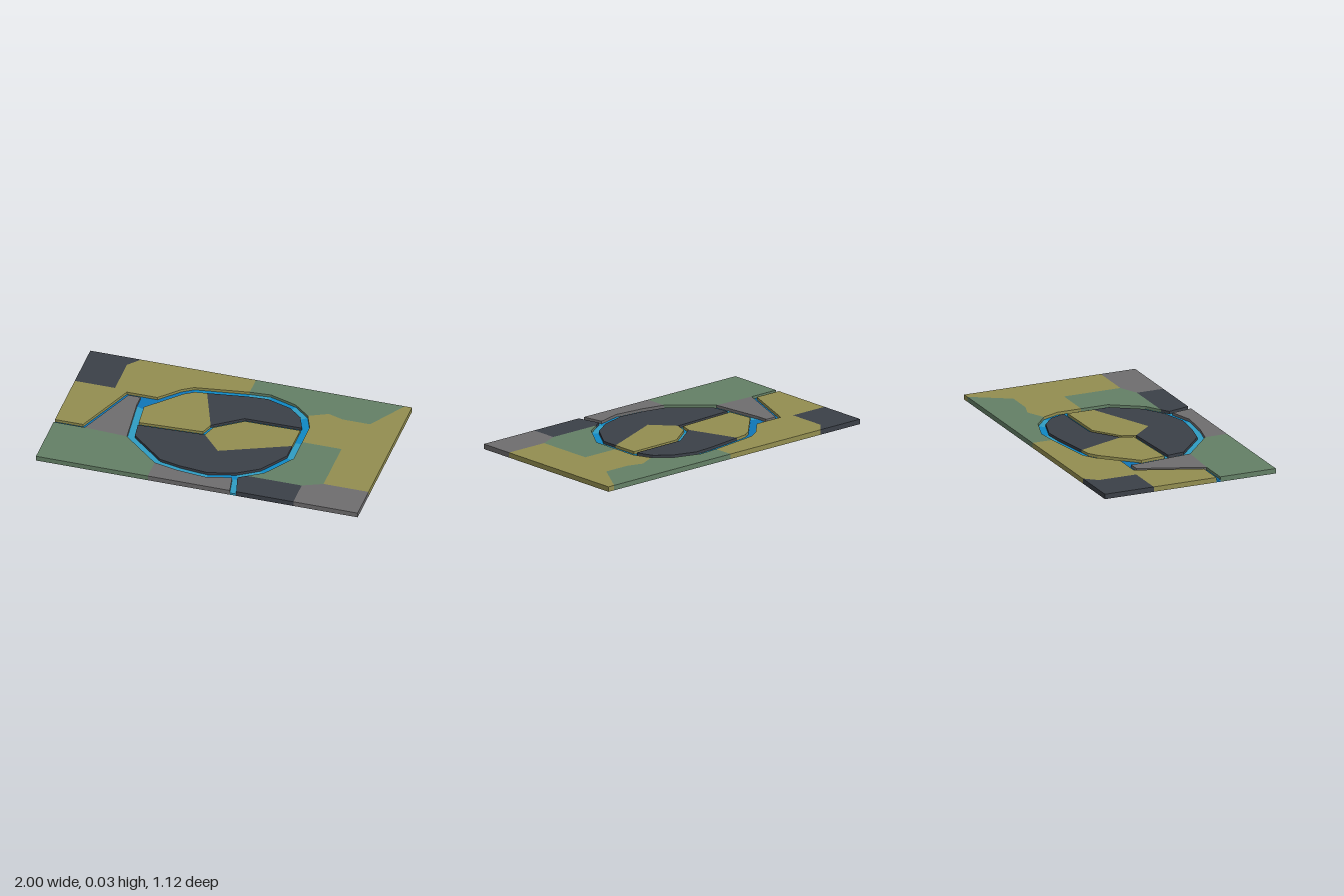
import * as THREE from 'three';

const LAND_TOP = 0.031, WATER_TOP = 0.014;

function mat(name, color) {
  const m = new THREE.MeshStandardMaterial({ color });
  m.name = name;
  return m;
}

// Flat slab standing on y = 0 from a plan outline of [x, z] points
function slab(name, material, height, points) {
  const shape = new THREE.Shape(points.map(([x, z]) => new THREE.Vector2(x, -z)));
  const geo = new THREE.ExtrudeGeometry(shape, { depth: height, bevelEnabled: false });
  geo.rotateX(-Math.PI / 2);
  const mesh = new THREE.Mesh(geo, material);
  mesh.name = name;
  return mesh;
}

// Second bank of a river: the first one shifted sideways by width, with mitred corners
function oppositeBank(bank, width, closed) {
  const n = bank.length;
  const normal = (i) => {
    const [a, b] = [bank[i], bank[(i + 1) % n]];
    const length = Math.hypot(b[0] - a[0], b[1] - a[1]);
    return [(a[1] - b[1]) / length, (b[0] - a[0]) / length];
  };
  return bank.map(([x, z], i) => {
    const before = normal(closed ? (i + n - 1) % n : Math.max(i - 1, 0));
    const after = normal(closed ? i : Math.min(i, n - 2));
    const k = width / (1 + before[0] * after[0] + before[1] * after[1]);
    return [x + k * (before[0] + after[0]), z + k * (before[1] + after[1])];
  });
}

export function createModel() {
  const olive = mat('olive', 0x938e50), green = mat('green', 0x648066);
  const charcoal = mat('charcoal', 0x3b4048), gray = mat('gray', 0x6e6d6e);
  const water = { d: mat('deepBlue', 0x0f76b8), m: mat('midBlue', 0x0f88c4), l: mat('lightBlue', 0x2f9dc3) };

  const model = new THREE.Group();
  model.name = 'terrainTile';
  const land = (name, material, ...points) => model.add(slab(name, material, LAND_TOP, points));

  // One water slab per stretch, with a letter of tones for each stretch
  function river(name, bank, far, tones) {
    const group = new THREE.Group();
    group.name = name;
    [...tones].forEach((tone, i) => {
      const j = (i + 1) % bank.length;
      group.add(slab(name + 'Stretch', water[tone], WATER_TOP, [bank[i], bank[j], far[j], far[i]]));
    });
    model.add(group);
  }

  // River banks
  const outer = [
    [-.577, -.12], [-.37, -.335], [-.3, -.38], [.03, -.43], [.16, -.44], [.33, -.385], [.43, -.3], [.475, -.19],
    [.475, -.035], [.475, .14], [.35, .33], [.21, .42], [.03, .47], [-.16, .45], [-.305, .417], [-.54, .21],
  ];
  const inner = oppositeBank(outer, .045, true);
  const middle = [[-.513, .055], [-.12, .035], [-.095, -.04], [.08, -.165], [.43, -.17]];
  const middleSouth = oppositeBank(middle, .025, false);
  const inlet = [[-1, .17], [-.825, .17], [-.67, -.22], [-.577, -.22]];
  const inletSouth = oppositeBank(inlet, .026, false);
  const junction = [-.48, -.22], outletWest = [.18, .428];

  // Water
  river('ringRiver', outer, inner, 'ddmlmlmmlmlmllll');
  river('middleRiver', middle, middleSouth, 'lmlm');
  river('inletRiver', inlet, inletSouth, 'ddd');
  model.add(slab('riverJunction', water.d, WATER_TOP, [inletSouth[3], inlet[3], junction, outer[0]]));
  model.add(slab('outletRiver', water.l, WATER_TOP, [outletWest, outer[11], [.245, .56], [.205, .56]]));

  // Northern land
  land('northWestRock', charcoal, [-1, -.56], [-.685, -.56], [-.75, -.485], [-.75, -.24], [-1, -.24]);
  land('northWestField', olive, [-.685, -.56], [.03, -.56], outer[3], outer[2], outer[1], junction,
    inlet[2], inlet[1], inlet[0], [-1, -.24], [-.75, -.24], [-.75, -.485]);
  const meadowEdge = [[.955, -.56], [.81, -.325], [.64, -.325], [.545, -.355]];
  land('northMeadow', green, [.03, -.56], ...meadowEdge, ...outer.slice(3, 7).reverse());

  // Eastern land
  land('eastField', olive, [1, -.56], [1, .335], [.72, .335], [.72, -.035],
    outer[8], outer[7], outer[6], ...meadowEdge.slice().reverse());
  land('eastMeadow', green, outer[8], [.72, -.035], [.72, .335], [.6, .388], [.26, .388], outer[10], outer[9]);

  // Southern land
  land('southEastStone', gray, [1, .335], [1, .56], [.6, .56], [.6, .388], [.72, .335]);
  land('southRock', charcoal, outer[11], [.26, .388], [.6, .388], [.6, .56], [.245, .56]);
  land('southStone', gray, outletWest, [.205, .56], [-.305, .56], outer[14], outer[13], outer[12]);
  land('southWestMeadow', green, inletSouth[0], inletSouth[1], outer[15], outer[14], [-.305, .56], [-1, .56]);
  land('westStone', gray, ...inletSouth.slice(1), outer[0], outer[15]);

  // Two islands inside the ring, each half field and half rock
  const upperSplit = [-.21, -.348], lowerSplit = [.02, .195], eastShore = [.43, .02];
  land('upperIslandField', olive, ...inner.slice(0, 3), upperSplit, middle[2], middle[1], middle[0]);
  land('upperIslandRock', charcoal, upperSplit, ...inner.slice(3, 8), middle[4], middle[3], middle[2]);
  land('lowerIslandField', olive, ...middleSouth.slice(1), eastShore, lowerSplit);
  land('lowerIslandRock', charcoal, middleSouth[0], middleSouth[1], lowerSplit, eastShore, ...inner.slice(9));
  return model;
}
